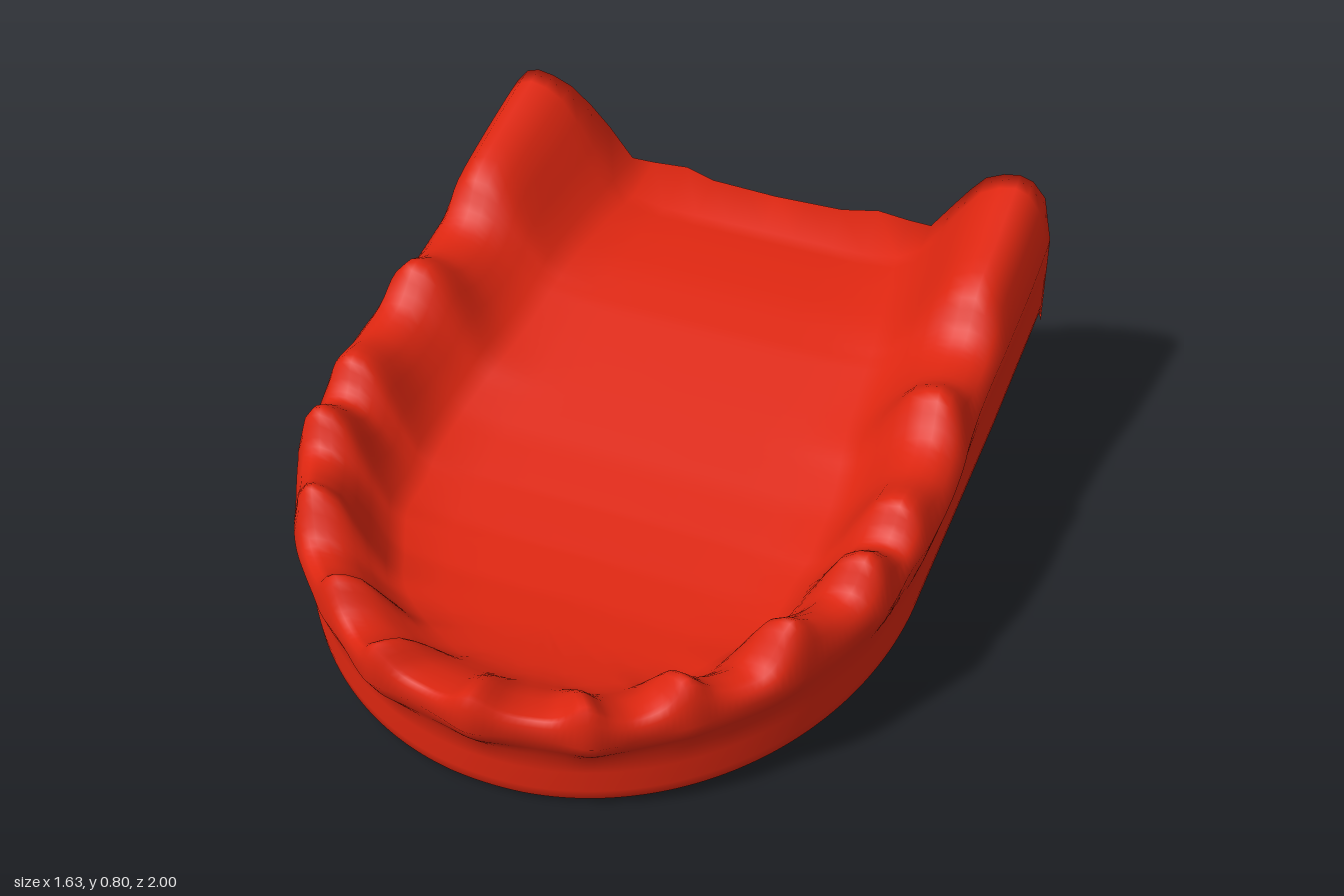
import * as THREE from 'three';
import { mergeVertices } from 'three/addons/utils/BufferGeometryUtils.js';

// Half of the arch, front centre to back: outer rim x, outer rim z, crest height
const RIM = [
  [0, 1.0, 0.35], [0.075, 0.98, 0.31], [0.14, 0.962, 0.297], [0.21, 0.95, 0.308], [0.28, 0.942, 0.36],
  [0.33, 0.91, 0.32], [0.38, 0.87, 0.303], [0.435, 0.83, 0.325], [0.485, 0.795, 0.388], [0.53, 0.75, 0.345],
  [0.58, 0.7, 0.33], [0.63, 0.645, 0.35], [0.67, 0.585, 0.447], [0.7, 0.52, 0.42], [0.735, 0.45, 0.4],
  [0.763, 0.39, 0.415], [0.785, 0.335, 0.497], [0.793, 0.23, 0.43], [0.802, 0.18, 0.452], [0.81, 0.13, 0.517],
  [0.815, 0, 0.492], [0.81, -0.11, 0.52], [0.8, -0.19, 0.605], [0.792, -0.3, 0.56], [0.79, -0.4, 0.56],
  [0.79, -0.47, 0.6], [0.79, -0.54, 0.69], [0.79, -0.72, 0.75], [0.785, -0.9, 0.805],
];
// Rules along z, x or y, as [position, value] pairs in rising order
const BASE = [[-0.93, 0.4], [-0.5, 0.284], [0.91, 0], [1, 0]];
const FLOOR = [[-0.9, 0.485], [-0.75, 0.475], [-0.6, 0.455], [-0.45, 0.42], [-0.3, 0.375], [-0.15, 0.33],
  [0, 0.285], [0.15, 0.248], [0.3, 0.218], [0.45, 0.2], [0.6, 0.2], [0.75, 0.22], [0.9, 0.265]];
const CREST_INSET = [[-0.9, 0.1], [0, 0.085], [0.4, 0.065], [0.78, 0.045], [0.97, 0.025]];
const FOOT_INSET = [[-0.9, 0.41], [-0.5, 0.35], [0, 0.31], [0.6, 0.27], [1, 0.24]];
const BACK_EDGE = [[0, -0.955], [0.2, -0.965], [0.28, -1], [0.5, -0.97], [0.72, -0.94], [0.765, -0.915], [0.785, -0.88]];
const BACK_LEAN = [[0.47, 1], [0.54, 0.95], [0.62, 0.9], [0.69, 0.7], [0.805, 0]];
const LIP_TOP = 0.535, LIP_BOTTOM = 0.47;

function look(table, v) {
  if (v <= table[0][0]) return table[0][1];
  for (let i = 1; i < table.length; i++) {
    const [a, p] = table[i - 1], [b, q] = table[i];
    if (v <= b) return p + (q - p) * (v - a) / (b - a);
  }
  return table[table.length - 1][1];
}

// Distance from the spine to the smooth lower edge: straight sides with a half-ellipse front
function edgeDistance(middle, ux, uz) {
  const rx = 0.78, rz = 0.82, start = 0.1, m = middle - start;
  const a = (ux / rx) ** 2 + (uz / rz) ** 2, b = m * uz / rz ** 2, c = (m / rz) ** 2 - 1;
  const root = b * b - a * c;
  const s = root > 0 ? (-b + Math.sqrt(root)) / a : 0;
  return root > 0 && m + s * uz >= 0 ? s : rx / Math.abs(ux);
}

// One closed section, from the middle of the underside round the ridge to the middle of the floor
function section(x, z, ridge) {
  const middle = z > 0 ? z - 0.42 * z * z : z;
  const length = Math.hypot(x, z - middle);
  const dx = -x / length, dz = (middle - z) / length;
  const crest = look(CREST_INSET, z), foot = look(FOOT_INSET, z);
  const edge = length - edgeDistance(middle, -dx, -dz);
  const points = [];
  const add = (d, height) => {
    const pz = z + dz * d;
    points.push([x + dx * d, height(pz), pz]);
  };
  const above = (h) => (pz) => look(BASE, pz) + h;
  const floor = (pz) => look(FLOOR, pz);

  // underside and rounded lower edge
  for (const f of [1, 0.75, 0.5, 0.25]) add(edge + (length - edge) * f, above(0));
  add(edge + 0.06, above(0));
  add(edge + 0.018, above(0));
  add(edge + 0.004, above(0.012));
  add(edge, above(0.04));
  // outer wall with a shallow groove below the gum bulge
  add(edge, above(0.1));
  add(edge * 0.95, above(0.15));
  add(edge * 0.4, above(0.2));
  const bulge = look(BASE, z) + 0.25;
  for (const [f, k] of [[0, 0], [0.3, 0.65], [0.65, 0.92], [1, 1]]) add(crest * f, () => bulge + (ridge - bulge) * k);
  // inner slope of the ridge
  for (const [s, k] of [[0.14, 0.97], [0.3, 0.88], [0.45, 0.68], [0.6, 0.46], [0.8, 0.17], [1, 0.05]]) {
    add(crest + (foot - crest) * s, (pz) => floor(pz) + (ridge - floor(pz)) * k);
  }
  // floor
  for (const f of [0.25, 0.5, 0.75, 1]) add(foot + (length - foot) * f, floor);
  return points;
}

// Lower back edge: straight, with rounded outer corners
function lowerBack(x) {
  const z = Math.max(-0.93, look(BACK_EDGE, Math.abs(x)));
  return [x, look(BASE, z), z];
}

// Back end of the arch: a raised lip on the floor, leaning forward towards the ridge top
function shapeEnd(ring) {
  ring.forEach((p, j) => {
    if (j < 6) {
      [, p[1], p[2]] = lowerBack(p[0]);
      return;
    }
    if (j > 14) p[1] = Math.max(p[1], LIP_TOP);
    p[2] = -0.9 + (look(BACK_EDGE, Math.abs(p[0])) + 0.9) * look(BACK_LEAN, p[1]);
  });
}

export function createModel() {
  const group = new THREE.Group();
  group.name = 'dentalArch';
  const red = new THREE.MeshStandardMaterial({ color: 0xdd2610 });
  red.name = 'red';

  // Sections along the whole arch
  const rows = [...RIM.slice(1).reverse().map(([x, z, y]) => [-x, z, y]), ...RIM];
  const path = new THREE.CatmullRomCurve3(rows.map(([x, z, y]) => new THREE.Vector3(x, y, z)), false, 'catmullrom', 0.5);
  const steps = (rows.length - 1) * 4;
  const rings = [];
  for (let i = 0; i <= steps; i++) {
    const p = path.getPoint(i / steps);
    rings.push(section(p.x, p.z, p.y));
  }
  const ends = [rings[0], rings[steps]];
  ends.forEach(shapeEnd);

  // Gum ridge, floor and underside
  const n = rings[0].length, positions = rings.flat(2), index = [];
  const quad = (a, b, c, d) => index.push(a, b, c, a, c, d);
  for (let i = 0; i < steps; i++) {
    for (let j = 0; j < n - 1; j++) {
      const a = i * n + j, b = a + n;
      quad(a, b, b + 1, a + 1);
    }
  }

  // Back wall, dropped from each end section through a protruding lip to the lower edge
  ends.forEach((ring, side) => {
    const start = positions.length / 3, first = 5;
    for (const [x, y, z] of ring.slice(first)) {
      const lip = y > LIP_BOTTOM ? [x, LIP_BOTTOM, look(BACK_EDGE, Math.abs(x))] : [x, y, z];
      positions.push(x, y, z, ...lip, ...lowerBack(x));
    }
    for (let j = 0; j < n - first - 1; j++) {
      for (let k = 0; k < 2; k++) {
        const a = start + j * 3 + k, b = a + 3;
        if (side === 0) quad(a, b, b + 1, a + 1);
        else quad(a, a + 1, b + 1, b);
      }
    }
  });

  // One smooth skin
  let geometry = new THREE.BufferGeometry();
  geometry.setAttribute('position', new THREE.Float32BufferAttribute(positions, 3));
  geometry.setIndex(index);
  geometry = mergeVertices(geometry, 1e-4);
  geometry.computeVertexNormals();
  const arch = new THREE.Mesh(geometry, red);
  arch.name = 'gumArch';
  group.add(arch);
  return group;
}
